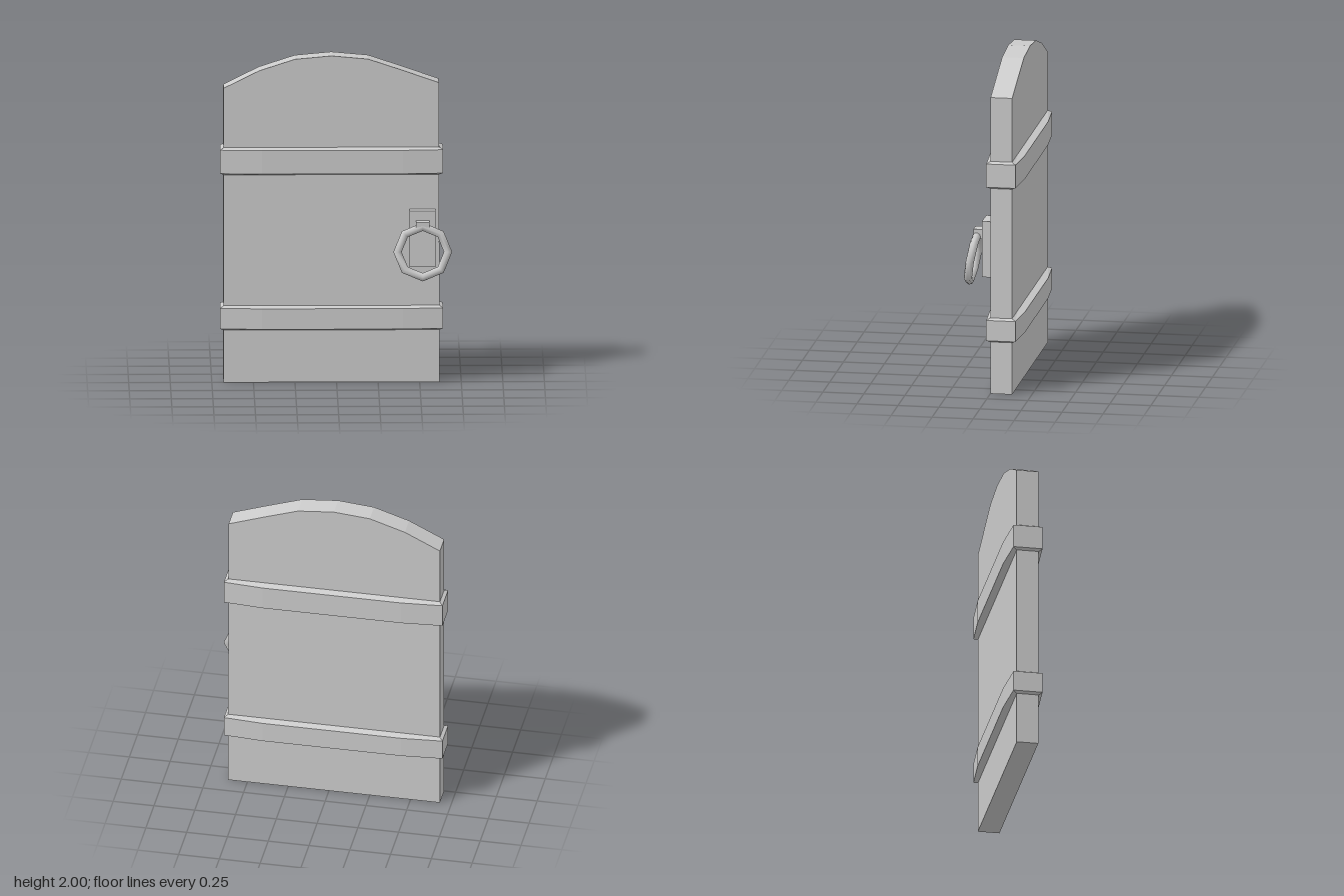
import * as THREE from 'three';

const flat = new THREE.MeshStandardMaterial({ color: 0xcccccc, flatShading: true });
const smooth = new THREE.MeshStandardMaterial({ color: 0xcccccc });

function addMesh(parent, name, geometry, material = flat) {
  const mesh = new THREE.Mesh(geometry, material);
  mesh.name = name;
  parent.add(mesh);
  return mesh;
}

// Skins a stack of closed rings, each given as [x, y, z] corners
function loft(rings) {
  const n = rings[0].length;
  const index = [];
  for (let r = 0; r < rings.length - 1; r++) {
    for (let i = 0; i < n; i++) {
      const j = (i + 1) % n;
      const a = r * n + i, b = r * n + j;
      index.push(a, b, b + n, a, b + n, a + n);
    }
  }
  const geometry = new THREE.BufferGeometry();
  geometry.setAttribute('position', new THREE.Float32BufferAttribute(rings.flat(2), 3));
  geometry.setIndex(index);
  geometry.computeVertexNormals();
  return geometry;
}

// Strap around the door: bowed front and back, bevelled top and bottom
function strapGeometry(bottom, top) {
  const outer = [[-0.7, 0.022], [-0.45, 0.04], [0.4, 0.04], [0.64, 0.022],
    [0.64, -0.155], [0.4, -0.173], [-0.45, -0.173], [-0.7, -0.155]];
  const inner = [[-0.678, 0], [-0.45, 0], [0.4, 0], [0.618, 0],
    [0.618, -0.132], [0.4, -0.132], [-0.45, -0.132], [-0.678, -0.132]];
  const ring = (plan, y) => plan.map(([x, z]) => [x, y, z]);
  const bevel = 0.012;
  return loft([ring(inner, bottom), ring(outer, bottom + bevel),
    ring(outer, top - bevel), ring(inner, top)]);
}

export function createModel() {
  const door = new THREE.Group();
  door.name = 'door';

  // Arched door panel
  const outline = [[-0.68, 0], [0.62, 0], [0.615, 1.835], [0.4, 1.91], [0.19, 1.98],
    [-0.03, 2], [-0.25, 1.98], [-0.465, 1.91], [-0.68, 1.803]];
  const shape = new THREE.Shape(outline.map(([x, y]) => new THREE.Vector2(x, y)));
  const panel = new THREE.ExtrudeGeometry(shape, { depth: 0.132, bevelEnabled: false });
  panel.translate(0, 0, -0.132);
  addMesh(door, 'panel', panel);

  // Two straps
  addMesh(door, 'lowerStrap', strapGeometry(0.32, 0.47));
  addMesh(door, 'upperStrap', strapGeometry(1.272, 1.44));

  // Pull handle
  const handle = new THREE.Group();
  handle.name = 'handle';
  handle.position.x = 0.517;
  door.add(handle);

  addMesh(handle, 'backPlate', new THREE.BoxGeometry(0.156, 0.345, 0.056))
    .position.set(0, 0.887, 0.028);

  // Bracket whose underside slopes down toward the plate
  const bracketSide = new THREE.Shape([[0.05, 0.94], [0.07, 0.94], [0.115, 0.97], [0.115, 1], [0.05, 1]]
    .map(([z, y]) => new THREE.Vector2(-z, y)));
  const bracket = new THREE.ExtrudeGeometry(bracketSide, { depth: 0.08, bevelEnabled: false });
  bracket.translate(0, 0, -0.04).rotateY(Math.PI / 2);
  addMesh(handle, 'bracket', bracket);

  // Eight-sided ring, hanging tilted away from the door
  const ring = addMesh(handle, 'ring', new THREE.TorusGeometry(0.152, 0.025, 8, 8), smooth);
  ring.position.set(0, 0.82, 0.118);
  ring.rotation.x = -0.17;

  return door;
}
